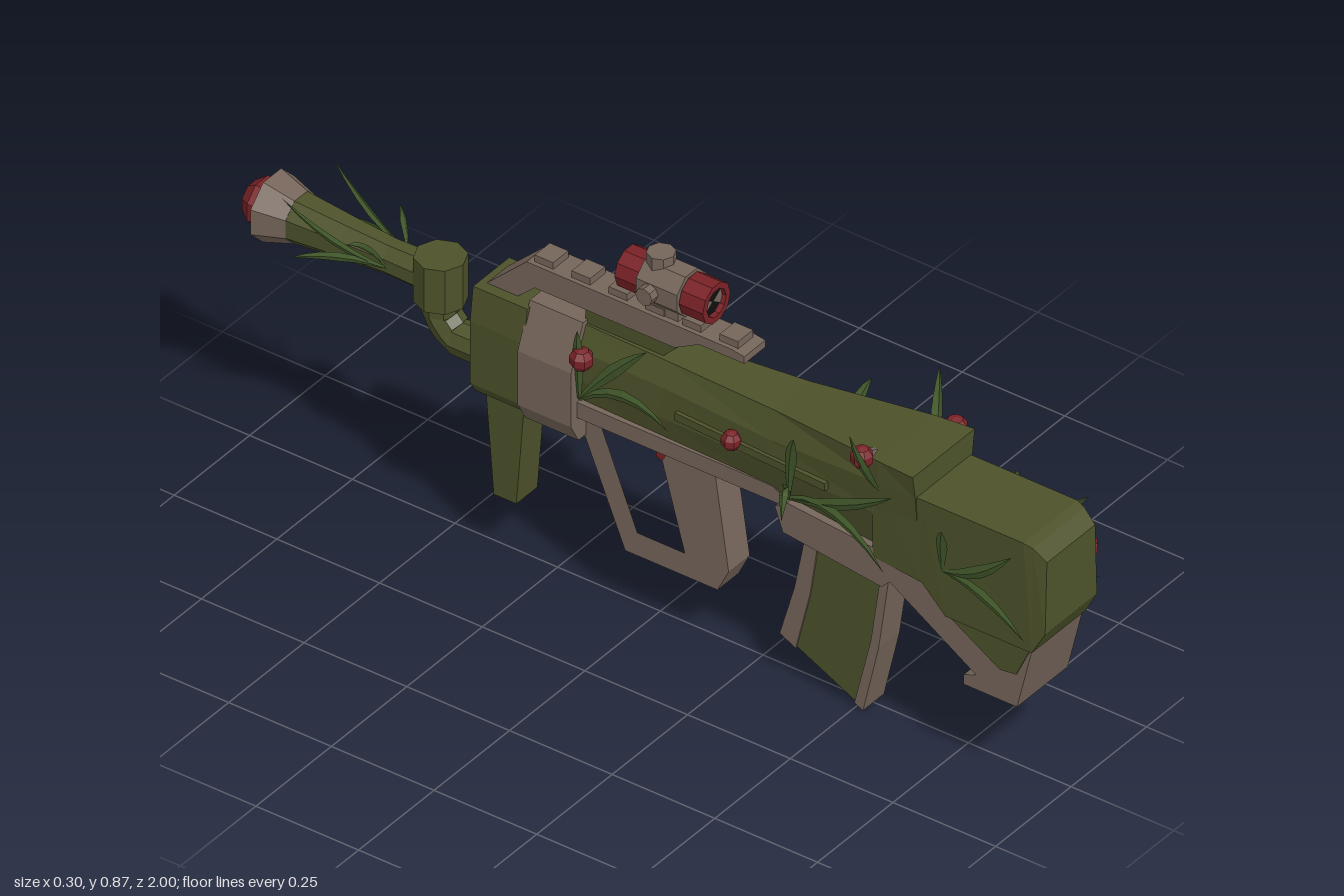
import * as THREE from 'three';

const mat = (name, color, double) => {
  const m = new THREE.MeshStandardMaterial({ color });
  m.name = name;
  if (double) m.side = THREE.DoubleSide;
  return m;
};

export function createModel() {
  const root = new THREE.Group();
  const olive = mat('olive', 0x4d522a);
  const brown = mat('brown', 0x75655a);
  const red = mat('red', 0x7a2226);
  const black = mat('black', 0x101010);
  const leafGreen = mat('leaf green', 0x48602f, true);

  // Faceted mesh
  const add = (name, geo, material, x = 0, y = 0, z = 0) => {
    const g = geo.index ? geo.toNonIndexed() : geo;
    g.computeVertexNormals();
    const m = new THREE.Mesh(g, material);
    m.name = name;
    m.position.set(x, y, z);
    root.add(m);
    return m;
  };
  // Side outline in [z, y], extruded across x
  const slab = (name, pts, half, material, hole) => {
    const shape = new THREE.Shape(pts.map(p => new THREE.Vector2(...p)));
    if (hole) shape.holes.push(new THREE.Path(hole.map(p => new THREE.Vector2(...p))));
    const g = new THREE.ExtrudeGeometry(shape, { depth: 2 * half, bevelEnabled: false });
    g.translate(0, 0, -half);
    g.rotateY(-Math.PI / 2);
    return add(name, g, material);
  };
  // Mirrored cross-sections: each is [z, right half points from bottom to top]
  const loft = (name, sections, material) => {
    const rings = sections.map(([z, half]) => [
      ...half.map(([x, y]) => [x, y, z]),
      ...half.slice().reverse().map(([x, y]) => [-x, y, z])]);
    const n = rings[0].length, pos = [];
    for (let s = 0; s < rings.length - 1; s++) {
      for (let i = 0; i < n; i++) {
        const j = (i + 1) % n, [a, b] = [rings[s], rings[s + 1]];
        pos.push(...a[i], ...a[j], ...b[j], ...a[i], ...b[j], ...b[i]);
      }
    }
    const last = rings[rings.length - 1];
    for (let i = 1; i < n - 1; i++) {
      pos.push(...rings[0][0], ...rings[0][i + 1], ...rings[0][i]);
      pos.push(...last[0], ...last[i], ...last[i + 1]);
    }
    const g = new THREE.BufferGeometry();
    g.setAttribute('position', new THREE.Float32BufferAttribute(pos, 3));
    return add(name, g, material);
  };
  // Lathe along -z, profile in [radius, distance]
  const turned = (name, profile, sides, material, x, y, z) => {
    const g = new THREE.LatheGeometry(profile.map(p => new THREE.Vector2(...p)), sides);
    g.rotateY(Math.PI / sides);
    g.rotateX(-Math.PI / 2);
    return add(name, g, material, x, y, z);
  };

  // Stock
  loft('stock', [
    [0.58, [[0.085, 0.43], [0.09, 0.62]]],
    [0.70, [[0.087, 0.42], [0.09, 0.622]]],
    [0.76, [[0.09, 0.365], [0.09, 0.622]]],
    [0.95, [[0.09, 0.365], [0.09, 0.622]]],
    [0.97, [[0.09, 0.365], [0.086, 0.615]]],
    [1.0, [[0.086, 0.42], [0.08, 0.59]]]], olive);
  slab('stockFrame', [[0.97, 0.38], [0.93, 0.215], [0.80, 0.215], [0.80, 0.238], [0.83, 0.25],
    [0.62, 0.385], [0.60, 0.365], [0.36, 0.395], [0.34, 0.45], [0.37, 0.47], [0.70, 0.44], [0.8, 0.39]], 0.084, brown);
  slab('stockPanel', [[0.965, 0.37], [0.93, 0.295], [0.89, 0.29], [0.76, 0.37]], 0.087, olive);

  // Main housing, tapering toward the barrel
  loft('housing', [
    [-0.16, [[0.05, 0.47], [0.06, 0.53], [0.058, 0.60], [0.035, 0.65]]],
    [0.05, [[0.055, 0.47], [0.066, 0.53], [0.062, 0.60], [0.04, 0.65]]],
    [0.32, [[0.06, 0.46], [0.08, 0.54], [0.078, 0.60], [0.06, 0.66]]],
    [0.60, [[0.065, 0.43], [0.088, 0.54], [0.094, 0.62], [0.096, 0.675]]],
    [0.69, [[0.07, 0.44], [0.088, 0.55], [0.094, 0.62], [0.103, 0.677]]]], olive);
  slab('lowerFrame', [[0.38, 0.435], [0.34, 0.443], [-0.16, 0.443], [-0.16, 0.48], [0.32, 0.48], [0.38, 0.45]], 0.066, brown);
  for (const s of [-1, 1]) {
    add('sideRidge', new THREE.BoxGeometry(0.014, 0.018, 0.38), olive, s * 0.078, 0.555, 0.28).rotation.y = s * 0.05;
  }

  // Magazine with edge strips
  slab('magazine', [[0.57, 0.39], [0.54, 0.18], [0.50, 0.015], [0.35, 0.09], [0.385, 0.23], [0.41, 0.40]], 0.031, olive);
  slab('magazineRear', [[0.588, 0.39], [0.557, 0.17], [0.519, 0.004], [0.498, 0.014], [0.538, 0.18], [0.568, 0.39]], 0.035, brown);
  slab('magazineFront', [[0.415, 0.40], [0.39, 0.23], [0.355, 0.085], [0.316, 0.105], [0.352, 0.23], [0.385, 0.40]], 0.035, brown);

  // Grip loop and trigger
  slab('gripLoop', [[0.155, 0.45], [0.192, 0.20], [0.165, 0.145], [-0.06, 0.145], [-0.16, 0.385], [-0.16, 0.45]], 0.035, brown,
    [[0.055, 0.445], [0.03, 0.40], [0.085, 0.20], [-0.03, 0.20], [-0.128, 0.445]]);
  slab('trigger', [[0.035, 0.45], [0.02, 0.38], [0.0, 0.385], [-0.005, 0.45]], 0.014, red);

  // Front block, fore body and foregrip
  const block = [[0.06, 0.385], [0.085, 0.43], [0.085, 0.56], [0.045, 0.66]];
  loft('frontBlock', [[-0.285, block], [-0.155, block]], brown);
  const fore = [[0.05, 0.39], [0.07, 0.42], [0.07, 0.57], [0.06, 0.648]];
  loft('foreBody', [[-0.412, fore], [-0.28, fore]], olive);
  slab('foregrip', [[-0.305, 0.40], [-0.325, 0.145], [-0.38, 0.145], [-0.40, 0.40]], 0.035, olive);

  // Elbow pipe and barrel
  const elbow = new THREE.CurvePath();
  const bend = [[-0.40, 0.458], [-0.495, 0.458], [-0.535, 0.50], [-0.535, 0.55]].map(([z, y]) => new THREE.Vector3(0, y, z));
  for (let i = 0; i < 3; i++) elbow.add(new THREE.LineCurve3(bend[i], bend[i + 1]));
  add('elbowPipe', new THREE.TubeGeometry(elbow, 9, 0.038, 8), olive);
  add('elbowCup', new THREE.CylinderGeometry(0.055, 0.055, 0.105, 8), olive, 0, 0.583, -0.535);
  turned('barrel', [[0.04, 0], [0.038, 0.08], [0.045, 0.18], [0.055, 0.30], [0.056, 0.32]], 8, olive, 0, 0.583, -0.57);
  turned('muzzle', [[0, 0], [0.056, 0], [0.078, 0.07], [0.06, 0.075], [0, 0.075]], 8, brown, 0, 0.583, -0.875);
  turned('muzzleTip', [[0.05, 0], [0.054, 0.025], [0.035, 0.05], [0, 0.055]], 8, red, 0, 0.583, -0.945);

  // Rail
  slab('rail', [[0.23, 0.735], [0.23, 0.718], [0.12, 0.718], [0.06, 0.685], [-0.28, 0.685], [-0.33, 0.64],
    [-0.405, 0.64], [-0.30, 0.74], [0.2, 0.74]], 0.035, brown);
  slab('railUnderside', [[0.07, 0.69], [0.02, 0.64], [-0.16, 0.64], [-0.16, 0.69]], 0.03, olive);
  for (let i = 0; i < 6; i++) add('railTooth', new THREE.BoxGeometry(0.05, 0.018, 0.045), brown, 0, 0.747, 0.185 - i * 0.09);

  // Scope
  add('scopeMount', new THREE.BoxGeometry(0.045, 0.05, 0.07), brown, 0, 0.755, 0.025);
  turned('scopeTube', [[0, 0], [0.052, 0], [0.052, 0.10], [0, 0.10]], 8, brown, 0, 0.805, 0.076);
  add('scopeTopKnob', new THREE.CylinderGeometry(0.03, 0.03, 0.03, 8), brown, 0, 0.858, 0.002);
  add('scopeSideKnob', new THREE.CylinderGeometry(0.02, 0.02, 0.03, 8), brown, -0.054, 0.805, 0.01).rotation.z = Math.PI / 2;
  for (const s of [-1, 1]) {
    const z = s > 0 ? 0.137 : -0.02;
    turned('scopeRing', [[0.032, 0], [0.046, 0], [0.046, 0.058], [0.032, 0.058], [0.032, 0]], 10, red, 0, 0.805, z);
    const lensZ = s > 0 ? 0.125 : -0.066, turn = s > 0 ? 0 : Math.PI;
    add('lens', new THREE.CircleGeometry(0.034, 12), black, 0, 0.805, lensZ).rotation.y = turn;
    for (const a of [0, Math.PI]) {
      add('lensWedge', new THREE.CircleGeometry(0.03, 3, a - 0.6, 1.2), brown, 0, 0.805, lensZ + s * 0.003).rotation.y = turn;
    }
  }

  // Leaf blade: a folded strip along a bowed curve, widest past the middle
  const leaf = (side, width, base, tip, bow) => {
    const [p0, p2] = [base, tip].map(([x, y, z]) => new THREE.Vector3(side * x, y, z));
    const p1 = p0.clone().lerp(p2, 0.5);
    p1.y += bow;
    const curve = new THREE.QuadraticBezierCurve3(p0, p1, p2);
    const n = 6, rows = [], pos = [];
    for (let i = 0; i <= n; i++) {
      const t = i / n, mid = curve.getPoint(t), d = curve.getTangent(t);
      const r = width * (0.25 + 1.2 * t) * Math.min(1, 1.9 * (1 - t));
      const across = new THREE.Vector3(0, -d.z, d.y).normalize().multiplyScalar(r);
      const edges = [mid.clone().add(across), mid.clone().sub(across)];
      mid.x += side * r * 0.35;
      rows.push([edges[0], mid, edges[1]]);
    }
    for (let i = 0; i < n; i++) {
      for (let k = 0; k < 2; k++) {
        const [a, b, c, d] = [rows[i][k], rows[i][k + 1], rows[i + 1][k + 1], rows[i + 1][k]];
        for (const v of [a, b, c, a, c, d]) pos.push(v.x, v.y, v.z);
      }
    }
    const g = new THREE.BufferGeometry();
    g.setAttribute('position', new THREE.Float32BufferAttribute(pos, 3));
    add('leaf', g, leafGreen);
  };
  // A sprig fans blades out from one base on both sides; each tip is [y, z, bow]
  const sprig = (width, base, tipX, tips) => {
    for (const side of [-1, 1]) {
      for (const [y, z, bow] of tips) leaf(side, width, base, [tipX, y, z], bow);
    }
  };
  sprig(0.018, [0.088, 0.47, 0.75], 0.13, [[0.42, 0.98, 0.05], [0.61, 0.95, -0.04], [0.60, 0.78, 0.03]]);
  sprig(0.018, [0.08, 0.48, 0.37], 0.13, [[0.44, 0.64, 0.1], [0.67, 0.42, 0.05], [0.63, 0.66, -0.03], [0.46, 0.39, 0.1]]);
  sprig(0.018, [0.09, 0.60, 0.60], 0.15, [[0.755, 0.57, -0.03]]);
  sprig(0.018, [0.065, 0.49, -0.15], 0.085, [[0.52, 0.08, 0.09], [0.69, 0.03, 0.02], [0.67, -0.14, 0.03]]);
  sprig(0.013, [0.035, 0.58, -0.64], 0.085, [[0.685, -0.86, -0.04], [0.55, -0.84, 0.03], [0.64, -0.7, 0.04]]);

  // Berries on short stems: x, y, z, radius
  for (const [x, y, z, r] of [[0.125, 0.49, 0.945, 0.026], [0.12, 0.643, 0.63, 0.028], [0.095, 0.517, 0.32, 0.027],
    [0.06, 0.64, -0.09, 0.014], [-0.108, 0.68, 0.57, 0.025], [-0.085, 0.565, 0.235, 0.022], [-0.078, 0.60, -0.135, 0.026]]) {
    add('berry', new THREE.SphereGeometry(r, 7, 5), red, x, y, z);
    const s = Math.sign(x);
    add('berryStem', new THREE.CylinderGeometry(r * 0.55, r * 0.4, 0.05, 6), brown, x - s * 0.026, y - 0.008, z).rotation.z = -s * 1.2;
  }
  return root;
}
